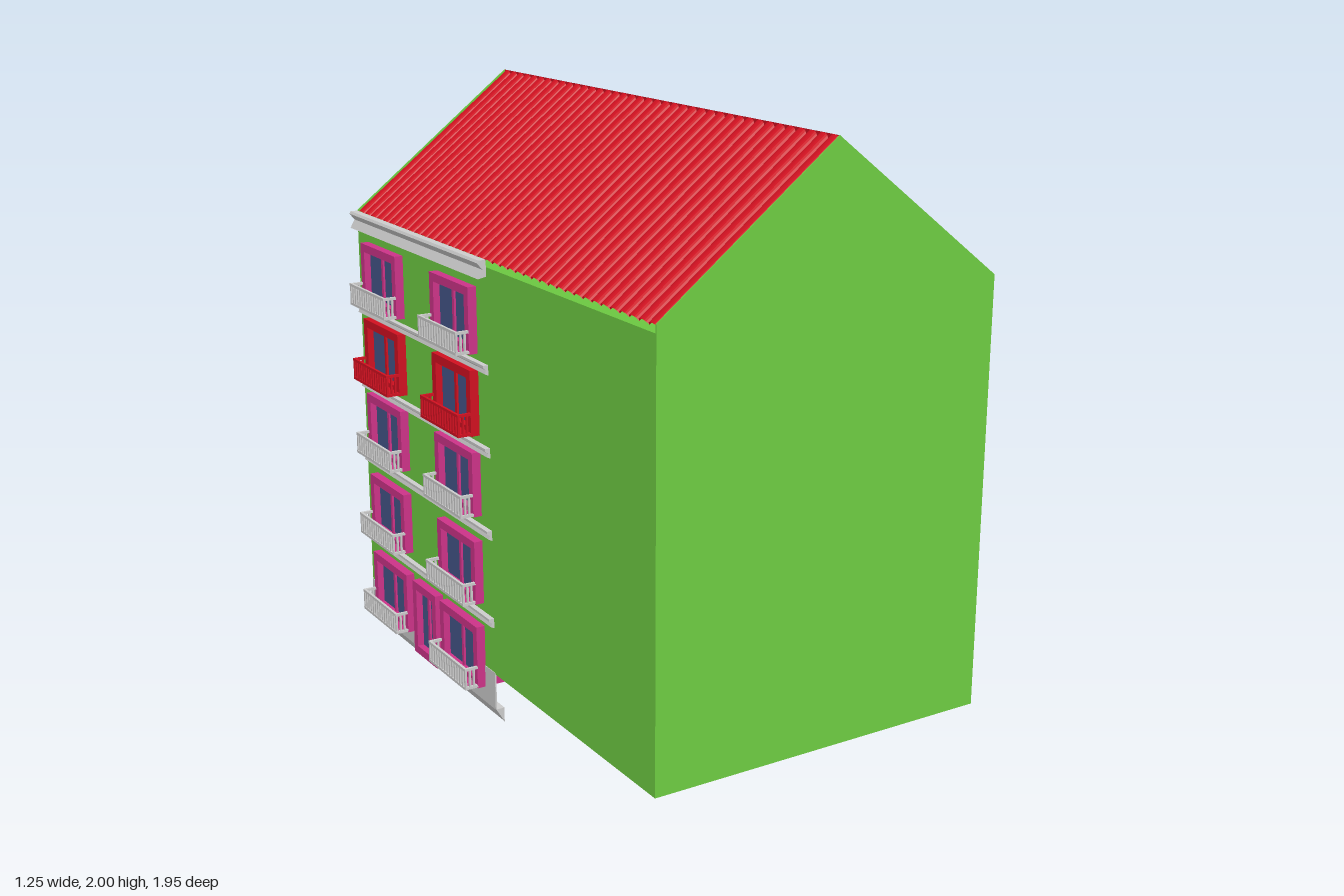
import * as THREE from 'three';

const mat = (color) => new THREE.MeshStandardMaterial({ color, flatShading: true, side: THREE.DoubleSide });
const GREEN = mat(0x6ecc42), RED = mat(0xd01020), PINK = mat(0xcc3388), GREY = mat(0xcccccc), BLUE = mat(0x445588);
const WALL = -0.55, Z0 = -0.975, Z1 = 0.975; // street wall and gable ends

// Box given by its limits on each axis
function box(parent, name, m, x0, x1, y0, y1, z0, z1) {
  const mesh = new THREE.Mesh(new THREE.BoxGeometry(x1 - x0, y1 - y0, z1 - z0), m);
  mesh.position.set((x0 + x1) / 2, (y0 + y1) / 2, (z0 + z1) / 2);
  mesh.name = name;
  parent.add(mesh);
}

// Profile in x and y, swept along z
function sweep(parent, name, m, points, z0, z1) {
  const shape = new THREE.Shape(points.map(([x, y]) => new THREE.Vector2(x, y)));
  const geo = new THREE.ExtrudeGeometry(shape, { depth: z1 - z0, bevelEnabled: false });
  geo.translate(0, 0, z0);
  const mesh = new THREE.Mesh(geo, m);
  mesh.name = name;
  parent.add(mesh);
}

// Corrugated roof slope: rounded ribs running from ridge to eave
function tiledSlope() {
  const ribs = 39, steps = 8, depth = 0.016;
  const geo = new THREE.PlaneGeometry(1, 1, ribs * steps, 1);
  const p = geo.attributes.position;
  for (let i = 0; i < p.count; i++) {
    const u = p.getX(i) + 0.5, v = p.getY(i) + 0.5;
    const t = 2 * (((Math.round(u * ribs * steps) % steps) / steps) - 0.5);
    const drop = -depth * (1 - Math.sqrt(Math.max(0, 1 - t * t)));
    p.setXYZ(i, WALL + 0.585 * v - 0.61 * drop, 1.55 + 0.45 * v + 0.79 * drop, Z0 + (Z1 - Z0) * u);
  }
  geo.computeVertexNormals();
  const mesh = new THREE.Mesh(geo, RED);
  mesh.name = 'tiledRoofSlope';
  return mesh;
}

// Framed opening with two panes, and the box behind it
function opening(name, m, y0, y1, z0, z1, inner) {
  const g = new THREE.Group();
  g.name = name;
  const f = 0.028, out = -0.58, mid = (z0 + z1) / 2;
  box(g, 'innerBox', m, WALL + 0.002, inner, y0, y1, z0, z1);
  box(g, 'glass', BLUE, -0.557, WALL, y0 + f, y1 - f, z0 + f, z1 - f);
  box(g, 'frameBottom', m, out, WALL + 0.002, y0, y0 + f, z0, z1);
  box(g, 'frameTop', m, out, WALL + 0.002, y1 - f, y1, z0, z1);
  box(g, 'frameSide', m, out, WALL + 0.002, y0 + f, y1 - f, z0, z0 + f);
  box(g, 'frameSide', m, out, WALL + 0.002, y0 + f, y1 - f, z1 - f, z1);
  box(g, 'mullion', m, -0.564, WALL, y0 + f, y1 - f, mid - 0.007, mid + 0.007);
  return g;
}

// Railing with rails on three sides and upright bars
function balcony(m, y0, z0, z1) {
  const g = new THREE.Group();
  g.name = 'balconyRailing';
  const y1 = y0 + 0.075, r = 0.009, a = -0.626, b = -0.578;
  for (const y of [y0, y1 - r]) {
    box(g, 'frontRail', m, a, a + r, y, y + r, z0, z1);
    for (const z of [z0, z1 - r]) box(g, 'sideRail', m, a + r, b, y, y + r, z, z + r);
  }
  const n = 14;
  for (let i = 0; i <= n; i++) {
    const z = z0 + (z1 - z0 - r) * i / n;
    box(g, 'bar', m, a + 0.001, a + 0.008, y0 + r, y1 - r, z, z + 0.008);
  }
  for (const z of [z0, z1 - r]) {
    for (const x of [-0.609, -0.595]) box(g, 'sideBar', m, x, x + 0.006, y0 + r, y1 - r, z, z + 0.008);
  }
  return g;
}

export function createModel() {
  const model = new THREE.Group();
  model.name = 'apartmentHouse';

  // House body, gable faces and roof
  sweep(model, 'houseBody', GREEN,
    [[WALL, 0.175], [0.62, 0.175], [0.62, 1.53], [0.035, 1.975], [WALL, 1.525]], Z0 + 0.004, Z1 - 0.004);
  const gable = [[WALL, 0.175], [0.62, 0.175], [0.62, 1.55], [0.035, 2], [WALL, 1.55]];
  sweep(model, 'backGable', GREEN, gable, Z0, Z0 + 0.004);
  sweep(model, 'frontGable', GREEN, gable, Z1 - 0.004, Z1);
  sweep(model, 'plainRoofSlope', RED,
    [[0.035, 1.975], [0.62, 1.53], [0.62, 1.55], [0.035, 2]], Z0 + 0.004, Z1 - 0.004);
  model.add(tiledSlope());

  // Plinth below the decorated half of the wall
  box(model, 'plinth', GREY, WALL - 0.002, WALL + 0.003, 0.05, 0.18, Z0, 0);
  sweep(model, 'plinthMoulding', GREY, [[WALL, 0.05], [-0.52, 0], [-0.52, 0.05]], Z0, 0);

  // Eaves cornice and string courses
  sweep(model, 'cornice', GREY,
    [[WALL, 1.495], [-0.578, 1.49], [-0.562, 1.518], [-0.58, 1.54], [-0.575, 1.548], [WALL, 1.548]], Z0, 0);
  for (const y of [1.2, 0.93, 0.655, 0.355]) {
    sweep(model, 'stringCourse', GREY,
      [[WALL, y - 0.018], [-0.562, y - 0.012], [-0.558, y], [-0.568, y + 0.008], [-0.568, y + 0.016], [WALL, y + 0.016]], Z0, 0);
  }

  // Five floors of windows, the fourth in red
  [0.105, 0.4, 0.7, 0.97, 1.237].forEach((y, floor) => {
    const red = floor === 3;
    for (const [z0, z1] of [[-0.89, -0.61], [-0.345, -0.07]]) {
      const m = red ? RED : PINK;
      model.add(opening('window', m, y, y + 0.215, z0, z1, -0.43));
      box(model, 'sill', m, WALL, -0.45, y - 0.02, y, z0 + 0.048, z1 - 0.048);
      box(model, 'balconyFloor', m, -0.617, -0.578, y + 0.004, y + 0.012, z0 + 0.012, z1 - 0.012);
      model.add(balcony(red ? RED : GREY, y + 0.003, z0, z1));
    }
  });

  // Street door
  model.add(opening('door', PINK, 0.055, 0.32, -0.56, -0.38, -0.36));
  return model;
}
